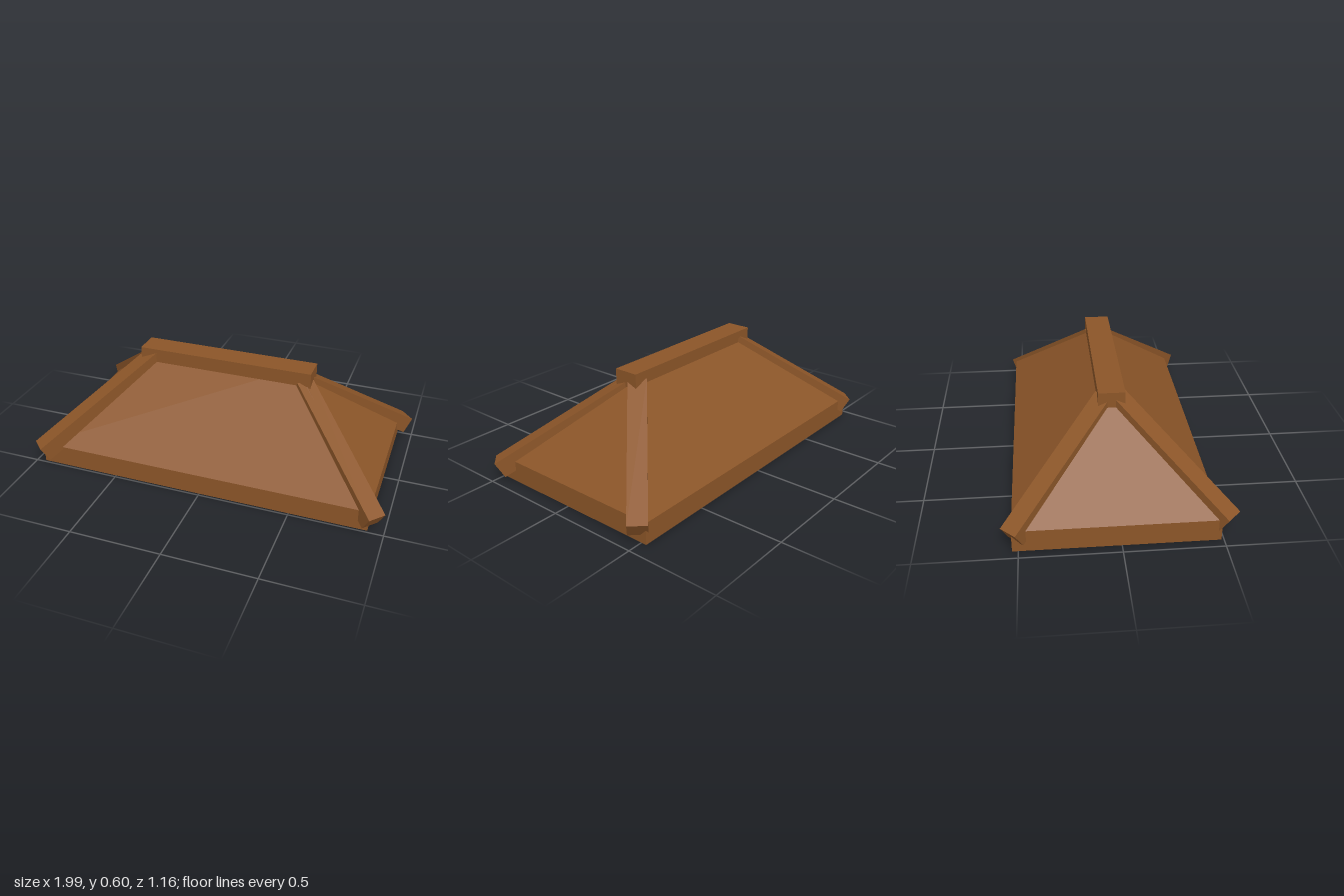
import * as THREE from 'three';

const wood = new THREE.MeshStandardMaterial({ color: 0x8b5528 });
wood.name = 'brown wood';

function addMesh(group, name, geometry) {
  const mesh = new THREE.Mesh(geometry, wood);
  mesh.name = name;
  group.add(mesh);
  return mesh;
}

// Box between two x, y and z limits
function addBox(group, name, [x0, x1], [y0, y1], [z0, z1]) {
  const mesh = addMesh(group, name, new THREE.BoxGeometry(x1 - x0, y1 - y0, z1 - z0));
  mesh.position.set((x0 + x1) / 2, (y0 + y1) / 2, (z0 + z1) / 2);
}

// Solid roof: rectangular rings joined from the base, past the eaves, to the ridge
function roofGeometry() {
  const rings = [
    { y: 0, x: [-0.95, 0.915], z: [-0.53, 0.487] },
    { y: 0.117, x: [-0.95, 0.915], z: [-0.53, 0.487] },
    { y: 0.59, x: [-0.43, 0.39], z: [-0.018, -0.014] },
  ].map(({ y, x, z }) => [
    [x[0], y, z[1]], [x[1], y, z[1]], [x[1], y, z[0]], [x[0], y, z[0]],
  ]);
  const points = [];
  const quad = (a, b, c, d) => points.push(...a, ...b, ...c, ...a, ...c, ...d);
  for (let r = 0; r < 2; r++) {
    for (let i = 0; i < 4; i++) {
      const j = (i + 1) % 4;
      quad(rings[r][i], rings[r][j], rings[r + 1][j], rings[r + 1][i]);
    }
  }
  quad(...[...rings[0]].reverse());
  quad(...rings[2]);
  const geometry = new THREE.BufferGeometry();
  geometry.setAttribute('position', new THREE.Float32BufferAttribute(points, 3));
  geometry.computeVertexNormals();
  return geometry;
}

// Square beam whose top centre line runs from the eave to the ridge
function addHipBeam(group, name, eave, ridge) {
  const width = 0.1, depth = 0.095;
  const start = new THREE.Vector3(...eave);
  const end = new THREE.Vector3(...ridge);
  const along = end.clone().sub(start);
  const length = along.length();
  along.normalize();
  const side = new THREE.Vector3(0, 1, 0).cross(along).normalize();
  const up = along.clone().cross(side);
  const geometry = new THREE.BoxGeometry(width, depth, length);
  geometry.translate(0, -depth / 2, length / 2);
  geometry.applyMatrix4(new THREE.Matrix4().makeBasis(side, up, along).setPosition(start));
  addMesh(group, name, geometry);
}

export function createModel() {
  const group = new THREE.Group();
  group.name = 'hippedRoof';

  addMesh(group, 'roofBody', roofGeometry());
  addBox(group, 'ridgeBeam', [-0.51, 0.48], [0.515, 0.6], [-0.08, 0.058]);

  // Slightly uneven, hand-placed hip beams
  addHipBeam(group, 'frontRightHipBeam', [-0.95, 0.137, 0.543], [-0.45, 0.58, 0.02]);
  addHipBeam(group, 'backRightHipBeam', [-0.965, 0.125, -0.545], [-0.455, 0.567, -0.05]);
  addHipBeam(group, 'frontLeftHipBeam', [0.96, 0.11, 0.51], [0.445, 0.54, 0.03]);
  addHipBeam(group, 'backLeftHipBeam', [0.96, 0.12, -0.518], [0.435, 0.555, -0.048]);

  return group;
}
